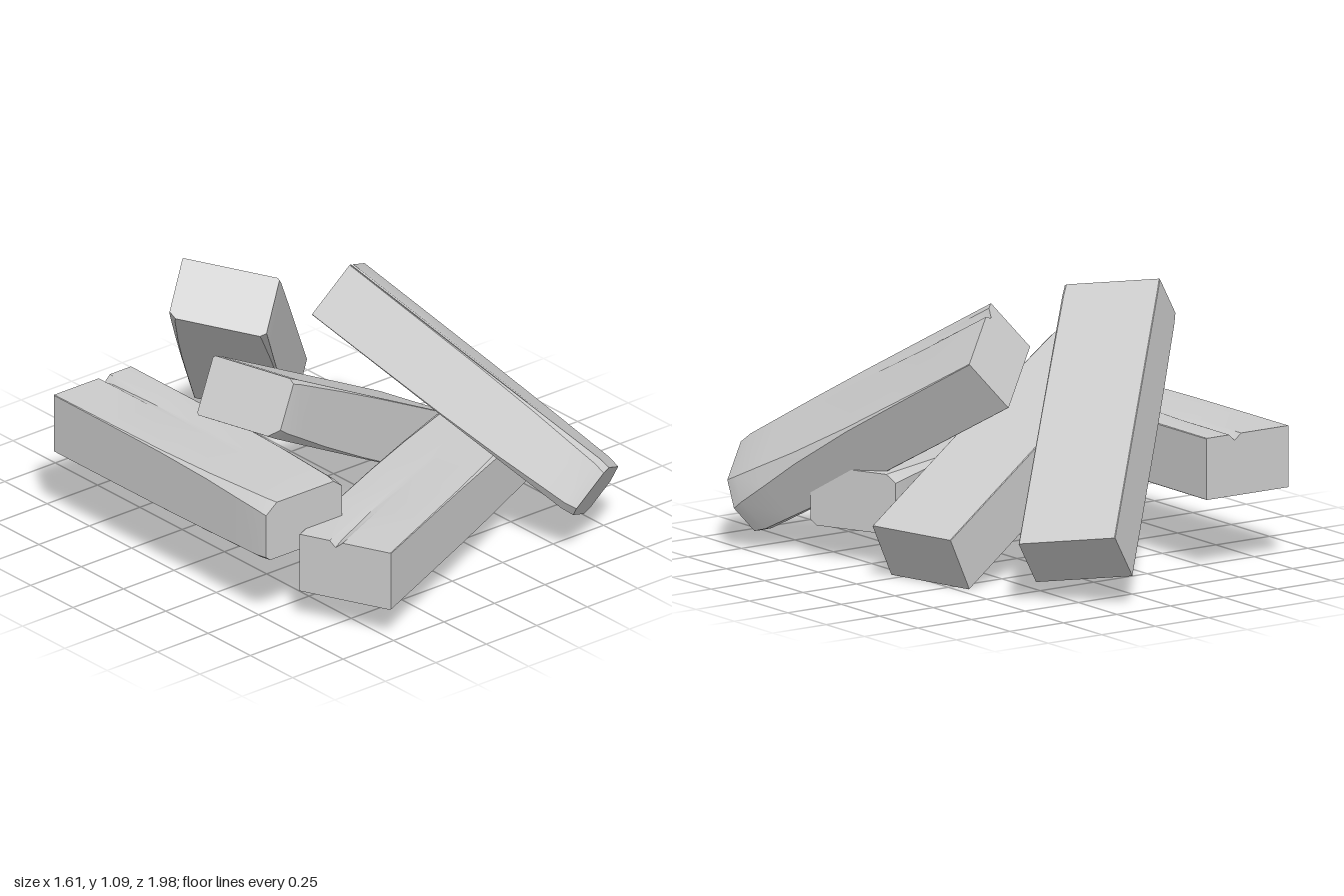
import * as THREE from 'three';
import { toCreasedNormals } from 'three/addons/utils/BufferGeometryUtils.js';

const W = 0.385, H = 0.24;

// Stations along a beam: [position, how far the corner chips have opened, groove depth left]
const STATIONS = [
  [0, 0, 1], [0.04, 0, 0.7], [0.25, 0.03, 0.35], [0.5, 0.1, 0.1],
  [0.72, 0.35, 0], [0.86, 0.65, 0], [0.96, 0.85, 0], [1, 1, 0],
];

// Worn cross-section, clockwise from the top left; chips are [tl, tr, br, bl]
function section(chips, open, grooveX, grooveDepth) {
  const x = W / 2, y = H / 2;
  const [tl, tr, br, bl] = chips.map((c) => 0.002 + c * open);
  return [
    [-x, y - tl], [-x + tl * 1.3, y],
    [grooveX - 0.03, y], [grooveX, y - grooveDepth], [grooveX + 0.025, y],
    [x - tr * 1.3, y], [x, y - tr],
    [x, y - br], [x - br * 1.3, y], 
    [-x + bl * 1.3, y], [-x, y - bl],
  ].map(([px, py], i) => {
    // the lower corners are measured up from the underside
    if (i === 7) return [px, -y + br];
    if (i === 10) return [px, -y + bl];
    return i > 7 ? [px, -y] : [px, py];
  });
}

// Beam lofted from its clean end to its worn end
function makeBeam({ name, from, to, up, chips, round = 0.03, groove = [0, 0] }) {
  const start = new THREE.Vector3(...from);
  const axis = new THREE.Vector3(...to).sub(start);
  const dir = axis.clone().normalize();
  const side = new THREE.Vector3(...up).cross(dir).normalize();
  const top = dir.clone().cross(side);
  const pos = [], index = [];
  const n = 11, last = STATIONS.length - 1;

  STATIONS.forEach(([t, open, g], k) => {
    const shrink = k === last ? 1 - round * 2 : 1;
    for (const [u, v] of section(chips, open, groove[0], groove[1] * g)) {
      const p = start.clone().addScaledVector(axis, t)
        .addScaledVector(side, u * shrink).addScaledVector(top, v * shrink);
      pos.push(p.x, p.y, p.z);
    }
  });
  for (let k = 0; k < last; k++) {
    for (let i = 0; i < n; i++) {
      const j = (i + 1) % n, a = k * n, b = a + n;
      index.push(a + i, b + i, a + j, a + j, b + i, b + j);
    }
  }
  // end caps fan out from their centres
  const c0 = pos.length / 3, c1 = c0 + 1;
  pos.push(...from, ...to);
  for (let i = 0; i < n; i++) {
    const j = (i + 1) % n;
    index.push(c0, i, j, c1, last * n + j, last * n + i);
  }

  const geo = new THREE.BufferGeometry();
  geo.setAttribute('position', new THREE.Float32BufferAttribute(pos, 3));
  geo.setIndex(index);
  const mesh = new THREE.Mesh(
    toCreasedNormals(geo, 0.5),
    new THREE.MeshStandardMaterial({ color: 0xcccccc }),
  );
  mesh.name = name;
  return mesh;
}

const BEAMS = [
  // two beams lying flat
  { name: 'sideBeam', from: [-0.625, 0.42, -0.63], to: [-0.625, 0.42, 0.62], up: [0, 1, 0],
    chips: [0.04, 0.03, 0.025, 0.015], round: 0.012, groove: [0.06, 0.025] },
  { name: 'frontBeam', from: [-0.585, 0.26, 0.815], to: [0.555, 0.26, 0.295], up: [0, 1, 0],
    chips: [0.02, 0.03, 0.05, 0.02], round: 0.015, groove: [0.04, 0.025] },
  // three beams leaning on the heap
  { name: 'backBeam', from: [0.3, 0.195, -0.8], to: [-0.38, 0.995, -0.145], up: [0.14, 0.18, -0.08],
    chips: [0, 0.005, 0.015, 0.02], round: 0.005 },
  { name: 'middleBeam', from: [0.56, 0.12, -0.155], to: [-0.495, 0.71, 0.12], up: [0.11, 0.21, -0.03],
    chips: [0.005, 0.015, 0.035, 0.005], round: 0.01 },
  { name: 'rightBeam', from: [0.185, 0.855, -0.145], to: [0.645, 0.225, 0.835], up: [0.15, 0.16, 0.06],
    chips: [0.025, 0.075, 0.03, 0.03], round: 0.025, groove: [-0.13, 0.03] },
];

export function createModel() {
  const model = new THREE.Group();
  model.name = 'beamPile';
  for (const beam of BEAMS) model.add(makeBeam(beam));
  return model;
}
